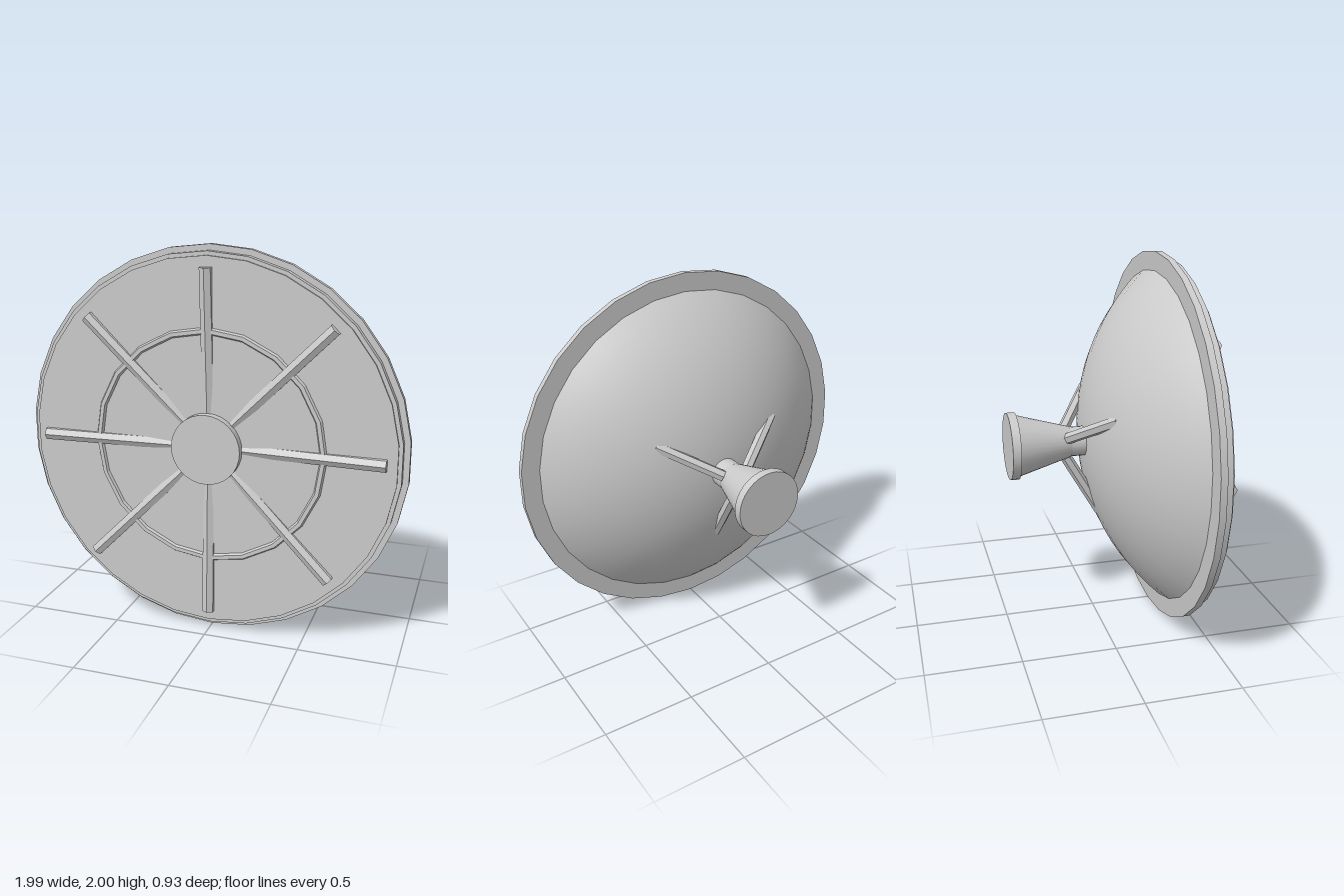
import * as THREE from 'three';

export function createModel() {
  const model = new THREE.Group();
  model.name = 'dishAntenna';
  // the dish axis runs along z through y = 1
  const dish = new THREE.Group();
  dish.name = 'dish';
  dish.position.y = 1;
  model.add(dish);

  const smooth = new THREE.MeshStandardMaterial({ color: 0xcccccc });
  const flat = new THREE.MeshStandardMaterial({ color: 0xcccccc, flatShading: true });

  const add = (name, geometry, material = smooth) => {
    const mesh = new THREE.Mesh(geometry, material);
    mesh.name = name;
    dish.add(mesh);
    return mesh;
  };

  // round part between two depths along z
  const disc = (name, z0, z1, r0, r1, sides) => {
    const g = new THREE.CylinderGeometry(r1, r0, z1 - z0, sides);
    g.rotateX(Math.PI / 2);
    g.rotateZ(Math.PI); // a corner sits at the top and bottom
    g.translate(0, 0, (z0 + z1) / 2);
    return add(name, g);
  };

  // six-sided rod between two points
  const rod = (name, a, b, radius) => {
    const dir = b.clone().sub(a);
    const mesh = add(name, new THREE.CylinderGeometry(radius, radius, dir.length(), 6), flat);
    mesh.position.copy(a).add(b).multiplyScalar(0.5);
    const side = new THREE.Vector3(-dir.y, dir.x, 0).normalize();
    const up = dir.normalize();
    mesh.quaternion.setFromRotationMatrix(
      new THREE.Matrix4().makeBasis(side.negate(), up, side.clone().cross(up)));
    return mesh;
  };

  const polar = (angle, r, z) =>
    new THREE.Vector3(Math.sin(angle) * r, Math.cos(angle) * r, z);

  // bulging shell: spherical cap, apex at the back
  const R = 1.235, apex = -0.055;
  const profile = [];
  for (let i = 0; i <= 16; i++) {
    const a = (i / 16) * Math.asin(0.91 / R);
    profile.push(new THREE.Vector2(R * Math.sin(a), apex + R * (1 - Math.cos(a))));
  }
  const shell = new THREE.LatheGeometry(profile, 30);
  shell.rotateX(Math.PI / 2);
  add('shell', shell);

  // stepped rim and front plate
  disc('rim', 0.335, 0.37, 1, 1, 30);
  disc('innerRim', 0.37, 0.41, 0.97, 0.97, 30);
  disc('frontPlate', 0.41, 0.422, 0.95, 0.95, 30);

  // front hub, ring and eight spokes
  disc('hub', 0.41, 0.465, 0.18, 0.18, 32);
  const ring = new THREE.TorusGeometry(0.592, 0.02, 6, 20);
  ring.rotateZ(Math.PI / 2);
  ring.translate(0, 0, 0.418);
  add('frontRing', ring, flat);
  for (let i = 0; i < 8; i++) {
    const a = (i * Math.PI) / 4;
    rod('spoke', polar(a, 0.1, 0.395), polar(a, 0.895, 0.43), 0.033);
  }

  // rear feed: neck, flared horn and cap
  disc('neck', -0.14, 0, 0.08, 0.08, 20);
  disc('horn', -0.42, -0.13, 0.166, 0.083, 32);
  disc('hornCap', -0.465, -0.42, 0.18, 0.18, 32);

  // three struts bracing the feed
  for (let i = 0; i < 3; i++) {
    const a = Math.PI / 3 + (i * Math.PI * 2) / 3;
    rod('strut', polar(a, 0.085, -0.15), polar(a, 0.42, 0.045), 0.031);
  }

  return model;
}
